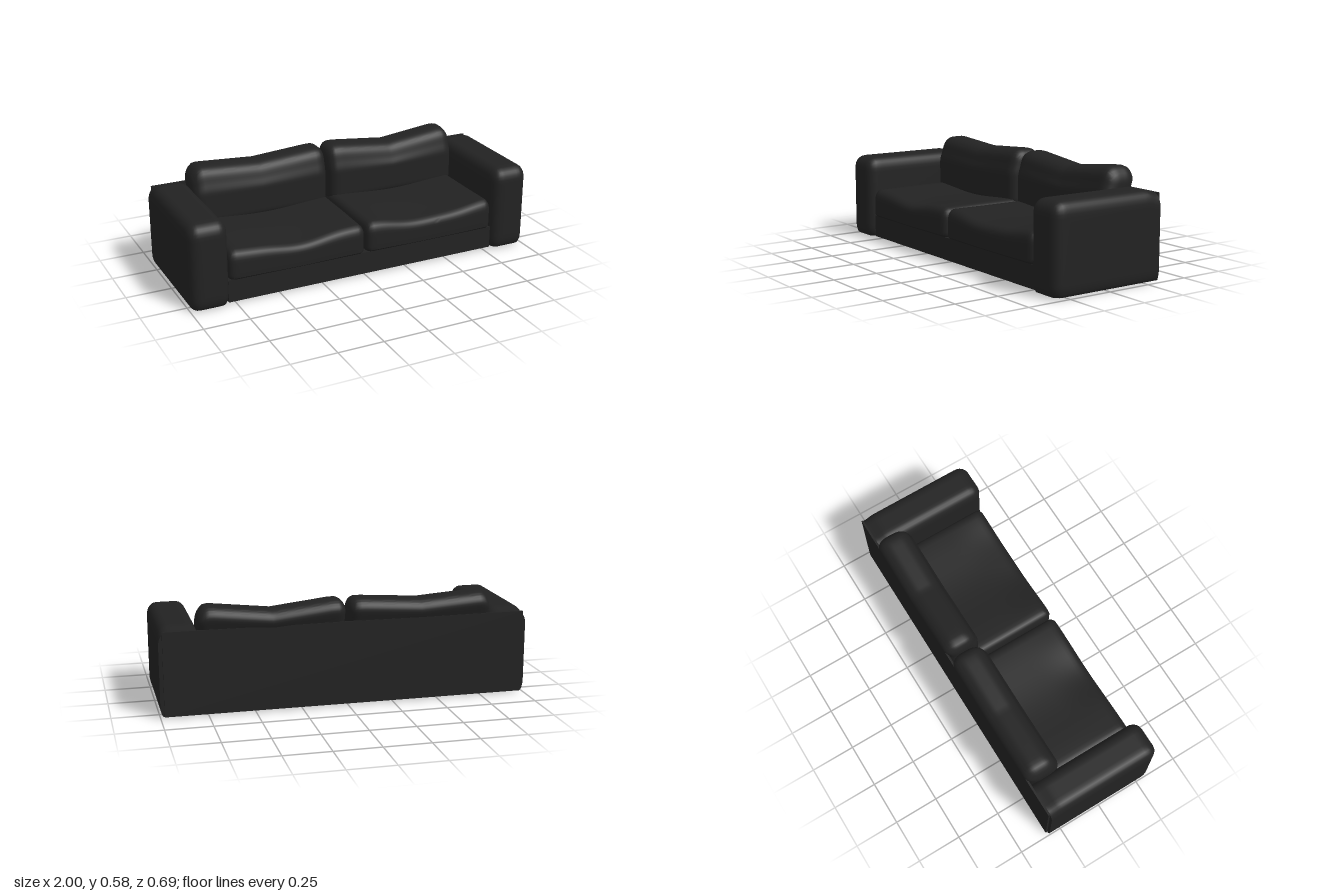
import * as THREE from 'three';
import { mergeVertices, toCreasedNormals } from 'three/addons/utils/BufferGeometryUtils.js';

const upholstery = new THREE.MeshStandardMaterial({ color: 0x222222 });
upholstery.name = 'charcoal upholstery';
const footPlastic = new THREE.MeshStandardMaterial({ color: 0x1c1c1c });
footPlastic.name = 'dark foot plastic';

// Box between two corners whose sides have their own rounding radii, then an optional vertex rule
function softBox(lo, hi, rLo, rHi, segments, rule) {
  const size = hi.map((h, i) => h - lo[i]);
  let geo = new THREE.BoxGeometry(...size, ...segments);
  geo.translate(...hi.map((h, i) => (h + lo[i]) / 2));
  geo.deleteAttribute('normal');
  geo.deleteAttribute('uv');
  geo = mergeVertices(geo, 1e-5);
  const pos = geo.attributes.position;
  const v = new THREE.Vector3();
  for (let n = 0; n < pos.count; n++) {
    const p = [pos.getX(n), pos.getY(n), pos.getZ(n)];
    const t = [0, 0, 0], r = [0, 0, 0], core = [...p];
    for (let i = 0; i < 3; i++) {
      if (rHi[i] && p[i] > hi[i] - rHi[i]) { r[i] = rHi[i]; core[i] = hi[i] - r[i]; }
      else if (rLo[i] && p[i] < lo[i] + rLo[i]) { r[i] = rLo[i]; core[i] = lo[i] + r[i]; }
      if (r[i]) t[i] = (p[i] - core[i]) / r[i];
    }
    const length = Math.hypot(...t);
    const k = length > 0 ? Math.max(...t.map(Math.abs)) / length : 0;
    v.set(...core.map((c, i) => c + t[i] * k * r[i]));
    if (rule) rule(v);
    pos.setXYZ(n, v.x, v.y, v.z);
  }
  return toCreasedNormals(geo, 0.8);
}

function add(parent, name, geometry, material = upholstery) {
  const mesh = new THREE.Mesh(geometry, material);
  mesh.name = name;
  parent.add(mesh);
  return mesh;
}

function box(parent, name, lo, hi, material) {
  const geo = new THREE.BoxGeometry(...hi.map((h, i) => h - lo[i]));
  geo.translate(...hi.map((h, i) => (h + lo[i]) / 2));
  return add(parent, name, geo, material);
}

export function createModel() {
  const sofa = new THREE.Group();
  sofa.name = 'sofa';

  // Plinth and thin back panel
  box(sofa, 'base', [-0.79, 0.01, -0.322], [0.79, 0.135, 0.305]);
  box(sofa, 'backPanel', [-0.98, 0.01, -0.333], [0.98, 0.462, -0.322]);

  for (const side of [1, -1]) {
    const label = side > 0 ? 'left' : 'right';

    // Padded arm, soft at the top and front, cut flat at the floor and back
    const armLo = side > 0 ? [0.785, -0.02, -0.322] : [-1, -0.02, -0.322];
    const armHi = side > 0 ? [1, 0.48, 0.343] : [-0.785, 0.48, 0.343];
    add(sofa, label + 'Arm', softBox(armLo, armHi,
      [0.055, 0.085, 0], [0.055, 0.07, 0.065], [12, 24, 28], (v) => {
        v.y = Math.max(v.y, 0.01);
        // Top drops slightly to meet the back panel
        if (v.y > 0.3) v.y -= 0.018 * THREE.MathUtils.smoothstep(-v.z, 0.25, 0.322);
      }));

    // Seat cushion, dipped in the middle and wavy along the front edge
    const seatLo = side > 0 ? [0.004, 0.13, -0.25] : [-0.785, 0.13, -0.25];
    const seatHi = side > 0 ? [0.785, 0.3, 0.322] : [-0.004, 0.3, 0.322];
    add(sofa, label + 'SeatCushion', softBox(seatLo, seatHi,
      [0.035, 0.02, 0.04], [0.035, 0.06, 0.045], [36, 10, 28], (v) => {
        const u = (Math.abs(v.x) - 0.395) / 0.39;
        const dip = Math.cos(Math.min(1, Math.abs(u)) * Math.PI / 2) ** 2;
        const lift = THREE.MathUtils.clamp((v.y - 0.13) / 0.17, 0, 1);
        const front = THREE.MathUtils.smoothstep(v.z, 0.05, 0.3);
        v.y -= lift * (0.022 * dip + 0.012 * front * dip);
        v.y += lift * 0.003 * Math.sin(u * 7 + side) * front;
      }));

    // Back cushion, leaning back over the panel with a sagging top
    const sag = side > 0 ? 0.036 : 0.022;
    const backLo = side > 0 ? [0.006, 0.25, -0.322] : [-0.8, 0.25, -0.322];
    const backHi = side > 0 ? [0.8, 0.578, -0.136] : [-0.006, 0.578, -0.136];
    add(sofa, label + 'BackCushion', softBox(backLo, backHi,
      [0.05, 0.04, 0.07], [0.05, 0.07, 0.075], [36, 24, 14], (v) => {
        const u = (Math.abs(v.x) - 0.403) / 0.397;
        const dip = Math.max(0, 1 - Math.abs(u) / 0.8);
        const high = THREE.MathUtils.smoothstep(v.y, 0.36, 0.54);
        v.z -= 0.022 * THREE.MathUtils.smoothstep(v.y, 0.43, 0.53);
        // Outer end is a little lower than the middle seam
        v.y -= high * (sag * dip + 0.02 * THREE.MathUtils.smoothstep(u, 0.85, 1));
      }));

    // Low square feet under the arm
    for (const [end, z] of [['Front', 0.222], ['Back', -0.237]]) {
      box(sofa, label + end + 'Foot',
        [side * 0.889 - 0.038, 0, z - 0.038], [side * 0.889 + 0.038, 0.012, z + 0.038], footPlastic);
    }
  }
  return sofa;
}
